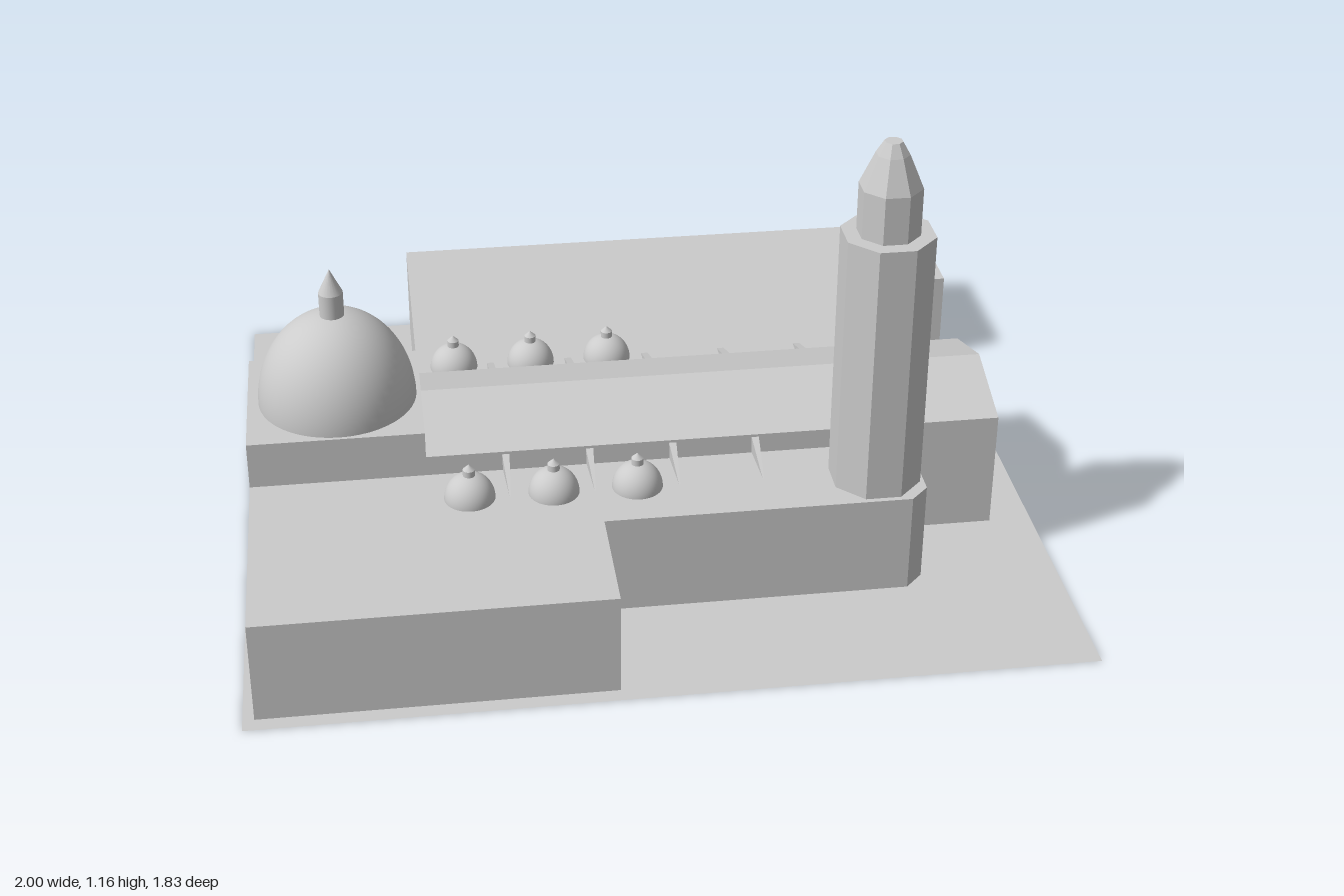
import * as THREE from 'three';

const flat = new THREE.MeshStandardMaterial({ color: 0xcccccc, flatShading: true, side: THREE.DoubleSide });
const smooth = new THREE.MeshStandardMaterial({ color: 0xcccccc, side: THREE.DoubleSide });

const WING_H = 0.258, AXIS_Z = 0.108, NAVE_HALF = 0.204;

function add(parent, name, geometry, material = flat) {
  const mesh = new THREE.Mesh(geometry, material);
  mesh.name = name;
  parent.add(mesh);
  return mesh;
}

function extrude(points, depth) {
  const shape = new THREE.Shape(points.map(([x, y]) => new THREE.Vector2(x, y)));
  return new THREE.ExtrudeGeometry(shape, { depth, bevelEnabled: false });
}

// Raises a floor plan given as [x, z] corners
function raisePlan(plan, height) {
  return extrude(plan.map(([x, z]) => [x, -z]), height).rotateX(-Math.PI / 2);
}

// Octagonal tower stage with flat sides facing the axes; radii are to the flats
function octagon(rTop, rBottom, y0, y1) {
  const k = 1 / Math.cos(Math.PI / 8);
  return new THREE.CylinderGeometry(rTop * k, rBottom * k, y1 - y0, 8)
    .rotateY(Math.PI / 8).translate(0, (y0 + y1) / 2, 0);
}

// Dome with a pointed finial
function makeDome(name, radius, height, finialR, shoulder, tip) {
  const dome = new THREE.Group();
  dome.name = name;
  const shell = new THREE.SphereGeometry(radius, 48, 20, 0, Math.PI * 2, 0, Math.PI / 2);
  add(dome, 'domeShell', shell.scale(1, height / radius, 1), smooth);
  const y0 = height * 0.95;
  add(dome, 'finialShaft', new THREE.CylinderGeometry(finialR, finialR, shoulder - y0, 20, 1, true)
    .translate(0, (shoulder + y0) / 2, 0), smooth);
  add(dome, 'finialTip', new THREE.ConeGeometry(finialR, tip - shoulder, 20, 1, true)
    .translate(0, (shoulder + tip) / 2, 0), smooth);
  return dome;
}

// Sloping buttress running outward along z from the nave wall
function makeButtress(x, side, length, tipWidth) {
  const geometry = extrude([[-0.02, 0], [length, 0], [0, 0.045], [-0.02, 0.045]], 0.018)
    .translate(0, 0, -0.009);
  const p = geometry.attributes.position;
  for (let i = 0; i < p.count; i++) {
    const t = Math.max(0, p.getX(i) / length);
    p.setZ(i, p.getZ(i) * (1 + (tipWidth - 1) * t));
  }
  geometry.rotateY(-side * Math.PI / 2);
  geometry.translate(x, WING_H, AXIS_Z + side * NAVE_HALF);
  geometry.computeVertexNormals();
  return geometry;
}

export function createModel() {
  const model = new THREE.Group();
  model.name = 'domedHall';

  // Thin ground sheet
  add(model, 'groundSheet', new THREE.PlaneGeometry(2, 1.834).rotateX(-Math.PI / 2));

  // Low flat-roofed wings either side of the nave
  add(model, 'frontWing', raisePlan([
    [-0.973, 0.312], [-0.973, 0.88], [-0.135, 0.88], [-0.135, 0.568],
    [0.615, 0.568], [0.66, 0.523], [0.66, 0.312],
  ], WING_H));
  add(model, 'backWing', raisePlan([
    [-0.543, -0.096], [0.66, -0.096], [0.66, -0.527], [0.97, -0.527],
    [0.97, -0.886], [-0.543, -0.886],
  ], WING_H));

  // Gabled nave running along x
  const nave = extrude([
    [-NAVE_HALF, 0], [NAVE_HALF, 0], [NAVE_HALF, 0.31], [0, 0.378], [-NAVE_HALF, 0.31],
  ], 1.436);
  add(model, 'nave', nave.rotateY(Math.PI / 2).translate(-0.543, 0, AXIS_Z));

  // Square block carrying the main dome
  add(model, 'domeBlock', new THREE.BoxGeometry(0.43, 0.378, NAVE_HALF * 2)
    .translate(-0.758, 0.189, AXIS_Z));
  const mainDome = makeDome('mainDome', 0.196, 0.236, 0.03, 0.295, 0.358);
  mainDome.position.set(-0.75, 0.378, AXIS_Z);
  model.add(mainDome);

  // Rows of small domes and buttresses on both sides
  for (const side of [-1, 1]) {
    for (const x of [-0.445, -0.241, -0.037]) {
      const dome = makeDome('smallDome', 0.062, 0.066, 0.015, 0.08, 0.094);
      dome.position.set(x, WING_H, AXIS_Z + side * 0.316);
      model.add(dome);
    }
    const count = side > 0 ? 4 : 5;
    for (let i = 0; i < count; i++) {
      add(model, 'buttress', makeButtress(-0.348 + i * 0.207, side, 0.12, side > 0 ? 0.2 : 1));
    }
  }

  // Stepped octagonal tower
  const tower = new THREE.Group();
  tower.name = 'tower';
  tower.position.set(0.545, 0, 0.45);
  add(tower, 'towerShaft', octagon(0.105, 0.105, 0, 0.926));
  add(tower, 'towerLantern', octagon(0.07, 0.07, 0.926, 1.045));
  add(tower, 'towerSpire', octagon(0.037, 0.07, 1.045, 1.126));
  add(tower, 'towerCap', octagon(0.02, 0.037, 1.126, 1.157));
  model.add(tower);

  return model;
}
